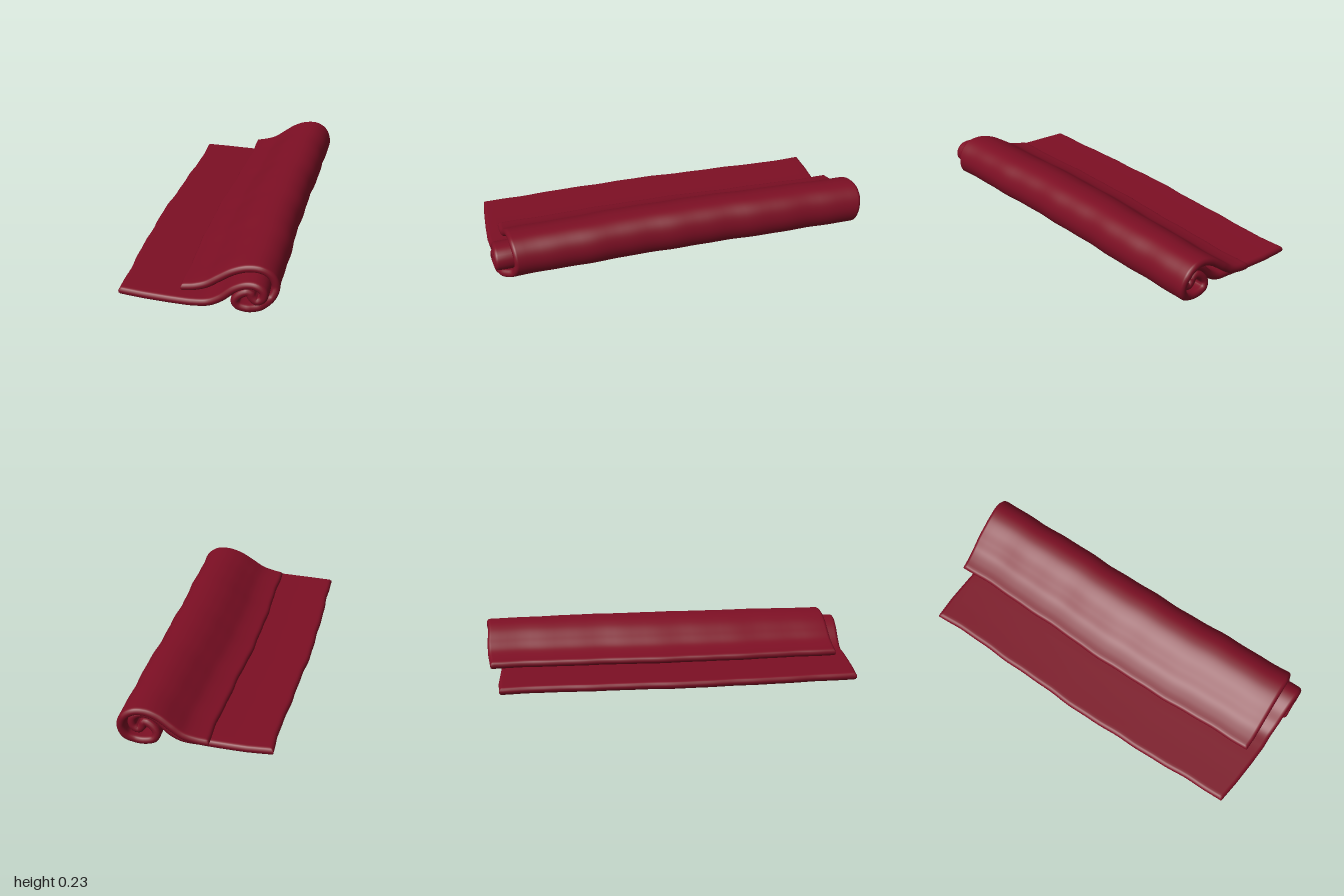
import * as THREE from 'three';
import { mergeVertices } from 'three/addons/utils/BufferGeometryUtils.js';

const HALF = 0.0205; // half the cloth thickness
const STEPS = 170;
const { smoothstep, lerp } = THREE.MathUtils;

// Centre line of the folded, rolled cloth at its front end: x, y, front z, back z
const PROFILE = [
  [-0.105, 0.063, 0.91, -0.99], [-0.04, 0.074, 0.915, -0.995], [0.02, 0.093, 0.915, -1],
  [0.08, 0.13, 0.915, -1], [0.15, 0.172, 0.915, -0.995], [0.22, 0.195, 0.915, -0.995],
  [0.29, 0.193, 0.915, -1], [0.338, 0.16, 0.91, -1], [0.357, 0.105, 0.905, -0.99],
  [0.338, 0.052, 0.92, -0.98], [0.295, 0.029, 0.97, -0.97], [0.24, 0.024, 0.99, -0.97],
  [0.185, 0.04, 0.995, -0.97], [0.174, 0.07, 1, -0.965], [0.2, 0.102, 1, -0.96],
  [0.243, 0.117, 1, -0.955], [0.256, 0.09, 1, -0.95], [0.28, 0.071, 1, -0.95],
  [0.31, 0.09, 1, -0.95], [0.309, 0.127, 1, -0.95], [0.28, 0.15, 1, -0.95],
  [0.23, 0.15, 0.995, -0.945], [0.17, 0.123, 0.99, -0.94], [0.1, 0.065, 0.985, -0.935],
  [0.04, 0.034, 0.98, -0.93], [-0.04, 0.026, 0.98, -0.93], [-0.15, 0.025, 0.97, -0.94],
  [-0.28, 0.026, 0.955, -0.95], [-0.41, 0.029, 0.935, -0.95],
];

// Rounded rim: the thickness falls to zero at the edge of the cloth
function rim(distance) {
  const k = 1 - Math.min(distance / HALF, 1);
  return Math.sqrt(Math.max(0, 1 - k * k));
}

// Distances from the front and back hems, packed closely around the rims
function stations() {
  const edge = [0, 0.002, 0.007, 0.013, HALF];
  const list = edge.map((d) => ({ t: 0, d, rim: rim(d) }));
  for (let k = 1; k < 44; k++) list.push({ t: k / 44, d: HALF, rim: 1 });
  edge.slice().reverse().forEach((d) => list.push({ t: 1, d, rim: rim(d) }));
  return list;
}

function clothGeometry() {
  const path = new THREE.CatmullRomCurve3(PROFILE.map(([x, y]) => new THREE.Vector3(x, y, 0)), false, 'centripetal');
  const length = path.getLength();
  // Path parameters, with extra samples at both cloth edges
  const params = [0, 0.002, 0.007, 0.013].map((d) => d / length);
  const a = HALF / length;
  for (let k = 0; k <= STEPS; k++) params.push(lerp(a, 1 - a, k / STEPS));
  [0.013, 0.007, 0.002, 0].forEach((d) => params.push(1 - d / length));

  const rows = stations();
  const positions = [], index = [];
  for (const side of [1, -1]) {
    for (const u of params) {
      const p = path.getPointAt(u), tan = path.getTangentAt(u);
      const f = path.getUtoTmapping(u) * (PROFILE.length - 1);
      const k = Math.min(Math.floor(f), PROFILE.length - 2);
      const front = lerp(PROFILE[k][2], PROFILE[k + 1][2], f - k);
      const back = lerp(PROFILE[k][3], PROFILE[k + 1][3], f - k);
      const endRim = rim(Math.min(u, 1 - u) * length);
      for (const row of rows) {
        const z = lerp(back + row.d, front - row.d, row.t);
        const h = side * HALF * Math.min(endRim, row.rim);
        // The whole roll drifts sideways towards the back and swells mid-length
        const drift = lerp(0.06, 0.033, smoothstep(p.x, 0, 0.35)) * smoothstep(-z, -0.3, 1);
        const swell = 0.016 * Math.cos((z + 0.2) * 1.3) * smoothstep(p.y, 0.04, 0.19);
        const ripple = 0.0025 * Math.sin(z * 13 + p.x * 4) + 0.0015 * Math.sin(z * 29);
        positions.push(p.x - tan.y * h + drift + ripple, p.y + tan.x * h + swell - 0.003, z);
      }
    }
  }
  const n = rows.length, half = params.length * n;
  for (let i = 0; i < params.length - 1; i++) {
    for (let j = 0; j < n - 1; j++) {
      const p = i * n + j, q = p + n;
      index.push(p, p + 1, q, q, p + 1, q + 1);
      index.push(half + p, half + q, half + p + 1, half + q, half + q + 1, half + p + 1);
    }
  }
  const geometry = new THREE.BufferGeometry();
  geometry.setAttribute('position', new THREE.Float32BufferAttribute(positions, 3));
  geometry.setIndex(index);
  const welded = mergeVertices(geometry, 1e-5);
  welded.computeVertexNormals();
  return welded;
}

export function createModel() {
  const group = new THREE.Group();
  group.name = 'rolledCloth';
  const crimson = new THREE.MeshStandardMaterial({ color: 0x7d0f24 });
  crimson.name = 'crimson cloth';
  const cloth = new THREE.Mesh(clothGeometry(), crimson);
  cloth.name = 'foldedClothRoll';
  group.add(cloth);
  return group;
}
